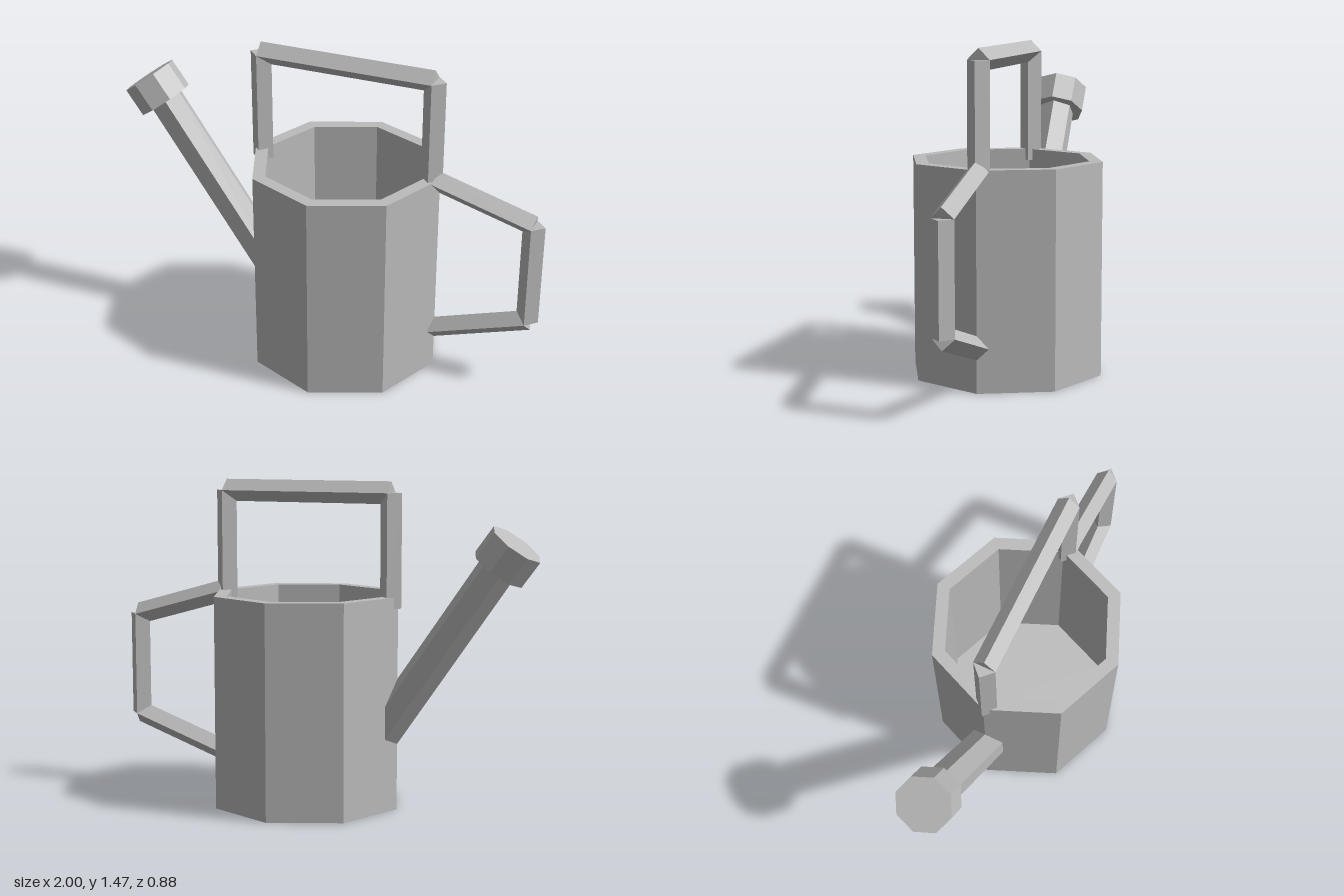
import * as THREE from 'three';

export function createModel() {
  const model = new THREE.Group();
  model.name = 'wateringCan';
  const metal = new THREE.MeshStandardMaterial({ color: 0xbbbbbb, flatShading: true });
  metal.name = 'grey metal';

  // Prism between two points [x, y] of the middle plane, one edge lying in that plane
  function rod(name, from, to, radius, sides, parent = model) {
    const a = new THREE.Vector3(from[0], from[1], 0);
    const b = new THREE.Vector3(to[0], to[1], 0);
    const dir = b.clone().sub(a);
    const geometry = new THREE.CylinderGeometry(radius, radius, dir.length(), sides, 1, false, Math.PI / 2);
    const mesh = new THREE.Mesh(geometry, metal);
    mesh.name = name;
    mesh.position.copy(a).add(b).multiplyScalar(0.5);
    mesh.rotation.z = Math.atan2(-dir.x, dir.y);
    parent.add(mesh);
  }

  // Open eight-sided container with thick wall and floor
  const profile = [[0, 0], [0.44, 0], [0.44, 0.96], [0.38, 0.96], [0.38, 0.06], [0, 0.06]]
    .map(([x, y]) => new THREE.Vector2(x, y));
  const body = new THREE.Mesh(new THREE.LatheGeometry(profile, 8), metal);
  body.name = 'body';
  body.position.x = 0.08;
  model.add(body);

  // Spout and its sprinkler head
  rod('spout', [-0.275, 0.325], [-0.83, 1.13], 0.084, 6);
  rod('sprinklerHead', [-0.815, 1.1], [-0.895, 1.21], 0.127, 8);

  // Handles as chains of square rods set on edge
  function handle(name, points) {
    const group = new THREE.Group();
    group.name = name;
    for (let i = 0; i < points.length - 1; i++) {
      rod(name + 'Rod' + (i + 1), points[i], points[i + 1], 0.05, 4, group);
    }
    model.add(group);
  }
  handle('topHandle', [[-0.325, 0.91], [-0.325, 1.417], [0.482, 1.417], [0.482, 0.91]]);
  handle('sideHandle', [[0.498, 0.953], [0.95, 0.825], [0.95, 0.345], [0.505, 0.195]]);

  return model;
}
